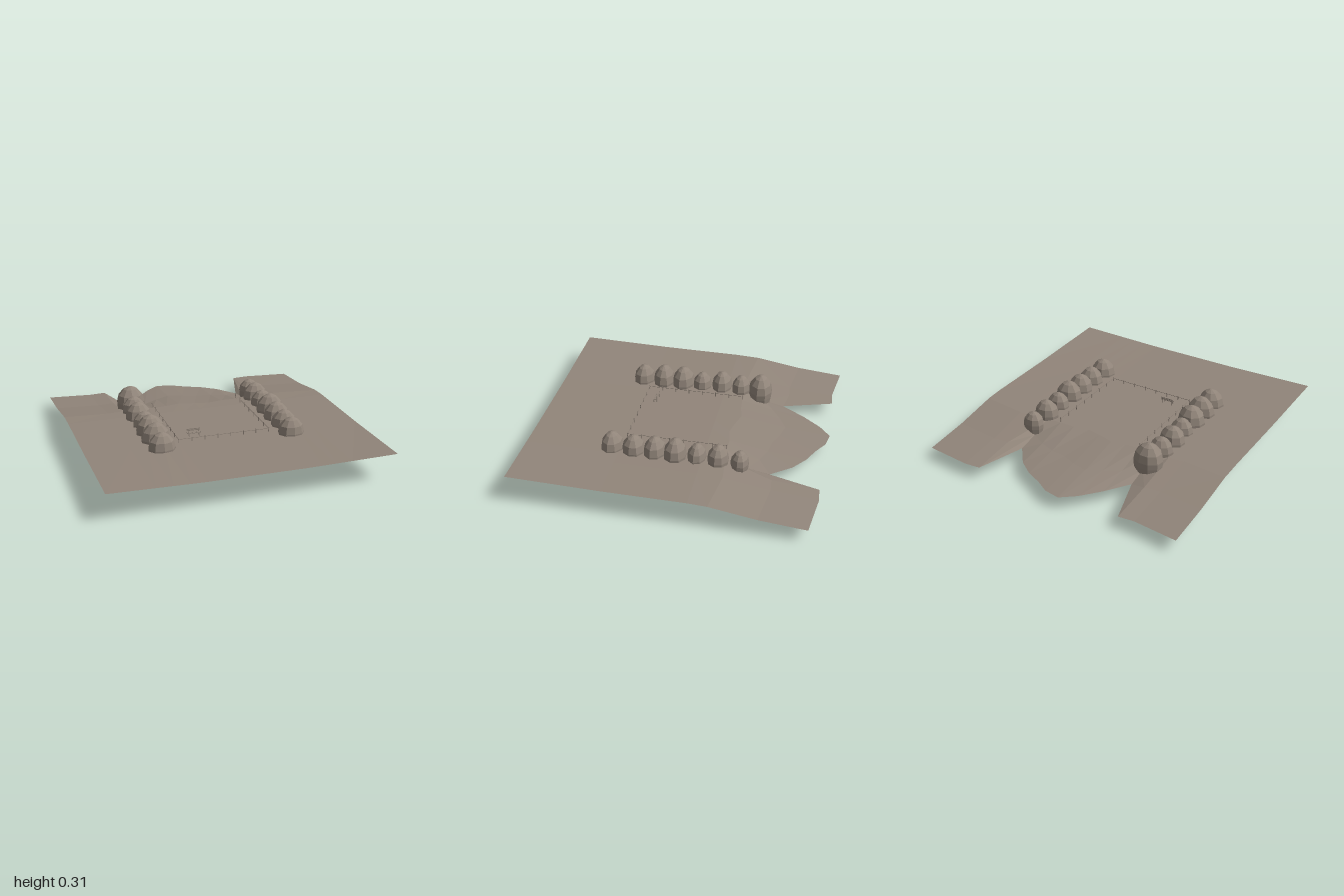
import * as THREE from 'three';

const stone = new THREE.MeshStandardMaterial({ color: 0x91857a, flatShading: true, side: THREE.DoubleSide });
stone.name = 'weathered stone';

function add(parent, name, geometry, x = 0, y = 0, z = 0) {
  const mesh = new THREE.Mesh(geometry, stone);
  mesh.name = name;
  mesh.position.set(x, y, z);
  parent.add(mesh);
  return mesh;
}

// Open sheet of land: each column is [x, crest z, back edge z]
function terrainGeometry() {
  const columns = [
    [-0.96, -0.36, -1], [-0.65, -0.33, -0.965], [-0.54, -0.34, -0.975], [-0.43, -0.35, -0.63],
    [-0.32, -0.34, -0.79], [-0.21, -0.35, -0.92], [-0.11, -0.37, -1], [0, -0.34, -0.98],
    [0.1, -0.32, -0.92], [0.21, -0.34, -0.87], [0.32, -0.34, -0.79], [0.43, -0.35, -0.65],
    [0.53, -0.36, -0.99], [0.64, -0.37, -1], [0.96, -0.33, -0.965],
  ];
  const pos = [], index = [];
  const rows = 6;
  for (const [x, crest, back] of columns) {
    const rise = Math.max(0, Math.abs(x) - 0.35) / 0.61;
    const mid = THREE.MathUtils.lerp(crest, back, 0.5);
    pos.push(
      x, 0.184 + 0.012 * rise, 1,
      x, 0.177 + 0.003 * rise, 0.36,
      x, 0.175, -0.2,
      x, 0.168, crest,
      x, 0.116, mid,
      x, 0.086, back,
    );
  }
  for (let i = 0; i < columns.length - 1; i++) {
    for (let j = 0; j < rows - 1; j++) {
      const a = i * rows + j, b = a + rows;
      index.push(a, b, b + 1, a, b + 1, a + 1);
    }
  }
  const g = new THREE.BufferGeometry();
  g.setAttribute('position', new THREE.Float32BufferAttribute(pos, 3));
  g.setIndex(index);
  g.computeVertexNormals();
  return g;
}

// Faceted boulder, tapering into the ground, with a slightly uneven outline
function boulderGeometry(rx, rz, seed) {
  const h = rx * 1.48;
  const profile = [
    [0, -1], [0.7, -1], [0.86, -0.55], [0.98, 0], [1, 0.25],
    [0.87, 0.6], [0.5, 0.88], [0.1, 1], [0, 1],
  ].map(([r, y]) => new THREE.Vector2(r, y));
  const g = new THREE.LatheGeometry(profile, 9);
  const p = g.attributes.position;
  for (let i = 0; i < p.count; i++) {
    const x = p.getX(i), y = p.getY(i), z = p.getZ(i);
    const a = Math.atan2(z, x);
    const k = 0.97 + 0.05 * Math.sin(2 * a + seed * 1.7) * Math.cos(a + seed);
    p.setXYZ(i, x * rx * k, y * h, z * rz * k);
  }
  g.computeVertexNormals();
  return g;
}

function buildBoulders(root) {
  const rowZ = [-0.455, -0.308, -0.164, -0.018, 0.125, 0.27, 0.42];
  // [x, x radius, z radius] from back to front
  const sides = {
    right: [[-0.455, 0.106, 0.088], [-0.465, 0.088, 0.07], [-0.47, 0.096, 0.076], [-0.46, 0.085, 0.07],
      [-0.457, 0.104, 0.085], [-0.455, 0.104, 0.08], [-0.455, 0.096, 0.08]],
    left: [[0.467, 0.076, 0.063], [0.46, 0.092, 0.075], [0.46, 0.086, 0.066], [0.465, 0.102, 0.08],
      [0.46, 0.096, 0.078], [0.462, 0.092, 0.08], [0.455, 0.094, 0.08]],
  };
  for (const [side, list] of Object.entries(sides)) {
    const group = new THREE.Group();
    group.name = `${side}BoulderRow`;
    list.forEach(([x, rx, rz], i) => {
      add(group, 'boulder', boulderGeometry(rx, rz, i + (side === 'left' ? 8 : 1)), x, 0.155, rowZ[i]);
    });
    root.add(group);
  }
}

// Straight run of posts with one thin rail
function fenceRun(root, name, x0, z0, x1, z1) {
  const run = new THREE.Group();
  run.name = name;
  const length = Math.hypot(x1 - x0, z1 - z0);
  const n = 7;
  for (let i = 0; i <= n; i++) {
    const t = i / n;
    add(run, 'fencePost', new THREE.BoxGeometry(0.005, 0.034, 0.005),
      x0 + (x1 - x0) * t, 0.191, z0 + (z1 - z0) * t);
  }
  const rail = add(run, 'fenceRail', new THREE.BoxGeometry(length, 0.003, 0.003),
    (x0 + x1) / 2, 0.2, (z0 + z1) / 2);
  rail.rotation.y = -Math.atan2(z1 - z0, x1 - x0);
  root.add(run);
}

function buildBench(root) {
  const bench = new THREE.Group();
  bench.name = 'bench';
  const width = 0.095;
  for (const z of [0.006, 0.014, 0.022]) {
    add(bench, 'seatSlat', new THREE.BoxGeometry(width, 0.003, 0.006), 0, 0.025, z);
  }
  for (const y of [0.037, 0.046]) {
    add(bench, 'backSlat', new THREE.BoxGeometry(width, 0.006, 0.003), 0, y, -0.004);
  }
  for (const x of [-0.036, 0.036]) {
    add(bench, 'backLeg', new THREE.BoxGeometry(0.004, 0.05, 0.004), x, 0.024, -0.001);
    add(bench, 'frontLeg', new THREE.BoxGeometry(0.004, 0.026, 0.004), x, 0.012, 0.021);
  }
  bench.position.set(-0.19, 0.177, 0.257);
  root.add(bench);
}

export function createModel() {
  const root = new THREE.Group();
  root.name = 'terraceWithBoulders';
  add(root, 'terrain', terrainGeometry());
  buildBoulders(root);
  fenceRun(root, 'frontFence', -0.32, 0.35, 0.32, 0.35);
  fenceRun(root, 'rightFence', -0.32, 0.35, -0.32, -0.34);
  fenceRun(root, 'leftFence', 0.32, 0.35, 0.32, -0.34);
  buildBench(root);
  return root;
}
